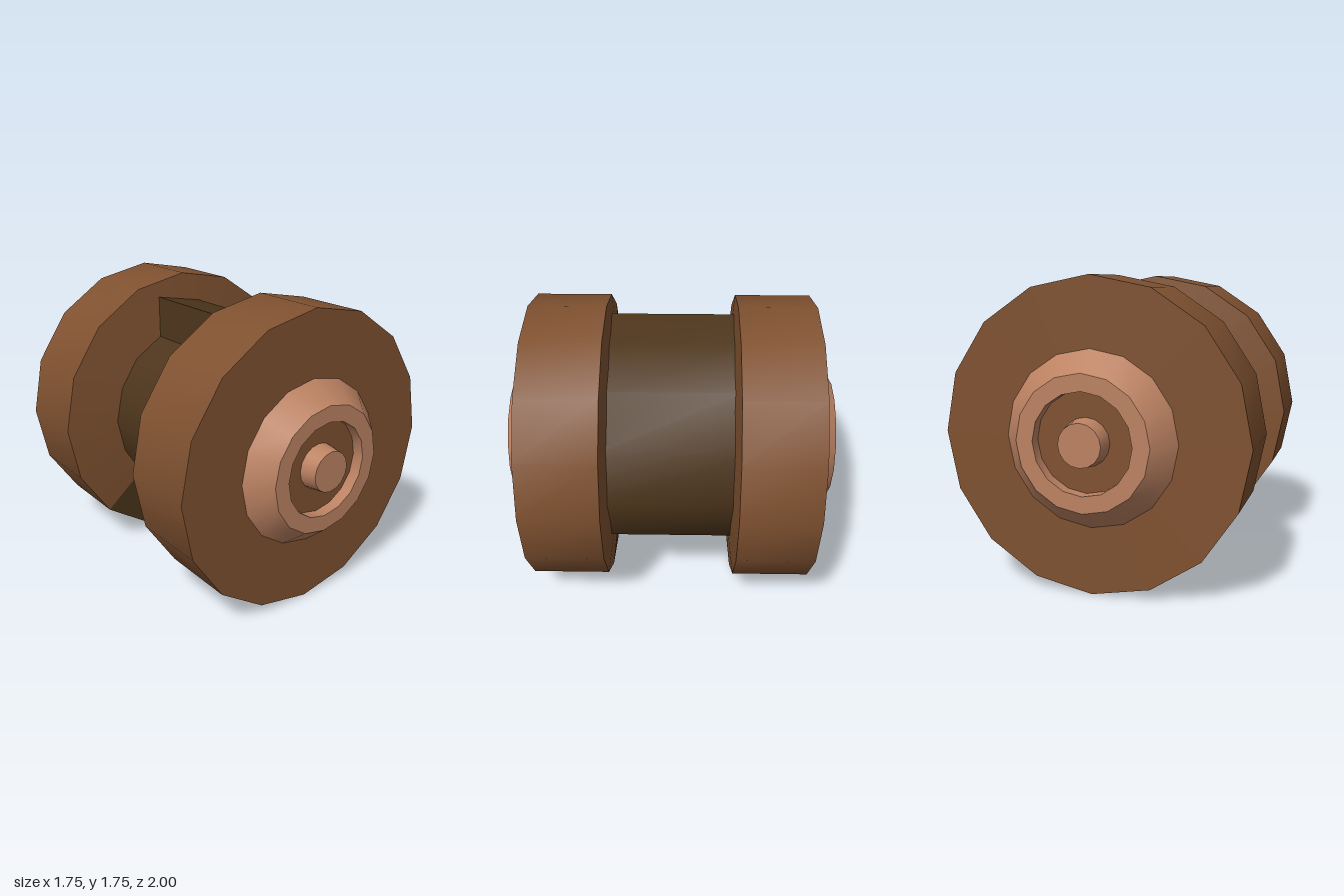
import * as THREE from 'three';
import { toCreasedNormals } from 'three/addons/utils/BufferGeometryUtils.js';

const SIDES = 16, STEP = Math.PI / 8, CENTRE_Y = 0.877, CREASE = 0.6;
const wood = new THREE.MeshStandardMaterial({ color: 0x7f5130 });
const paleWood = new THREE.MeshStandardMaterial({ color: 0xbc8262 });
const dark = new THREE.MeshStandardMaterial({ color: 0x4d351b });

// Turned part around the z axis; profile is [radius, z] running outward over the surface
function turned(name, profile, material, firstSide = 0, sides = SIDES) {
  const points = profile.map(([r, z]) => new THREE.Vector2(r, z));
  const geometry = new THREE.LatheGeometry(points, sides, firstSide * STEP, sides * STEP);
  geometry.rotateX(Math.PI / 2);
  const mesh = new THREE.Mesh(toCreasedNormals(geometry, CREASE), material);
  mesh.name = name;
  return mesh;
}

// One wheel, modelled on the +z end
function wheel(name, darkStart) {
  const group = new THREE.Group();
  group.name = name;
  const innerFace = [[0.4, 0.33], [0.875, 0.38]];
  group.add(
    turned('wheelDisc', [[0.875, 0.38], [0.875, 0.837], [0, 0.837]], wood),
    turned('innerFace', innerFace, wood, darkStart + 3, 13),
    turned('innerFacePatch', innerFace, dark, darkStart, 3),
    turned('hubRing', [[0.49, 0.83], [0.49, 0.837], [0.375, 0.97], [0.28, 0.97], [0.28, 0.9]], paleWood),
    turned('hubFloor', [[0.29, 0.9], [0, 0.9]], wood),
    turned('axleEnd', [[0.135, 0.895], [0.12, 1], [0, 1]], paleWood),
  );
  return group;
}

// Core between the wheels: a thick wrap that stops at a step, leaving a thinner section on one side
function core() {
  const outline = [
    [-0.38, -0.4], [-0.2, -0.737], [0.2, -0.66], [0.54, -0.38], [0.675, -0.05],
    [0.615, 0.27], [0.4, 0.54], [0.11, 0.69], [-0.19, 0.745],
    [-0.205, 0.5], [-0.385, 0.385], [-0.5, 0.21], [-0.545, 0], [-0.5, -0.21],
  ];
  const shape = new THREE.Shape(outline.map(([x, y]) => new THREE.Vector2(x, y)));
  const geometry = new THREE.ExtrudeGeometry(shape, { depth: 0.8, bevelEnabled: false });
  geometry.translate(0, 0, -0.4);
  const mesh = new THREE.Mesh(toCreasedNormals(geometry, CREASE), dark);
  mesh.name = 'core';
  return mesh;
}

export function createModel() {
  const model = new THREE.Group();
  model.name = 'spool';
  const front = wheel('frontWheel', -2);
  const back = wheel('backWheel', -1);
  back.rotation.y = Math.PI;
  model.add(front, back, core());
  model.children.forEach((part) => { part.position.y = CENTRE_Y; });
  return model;
}
